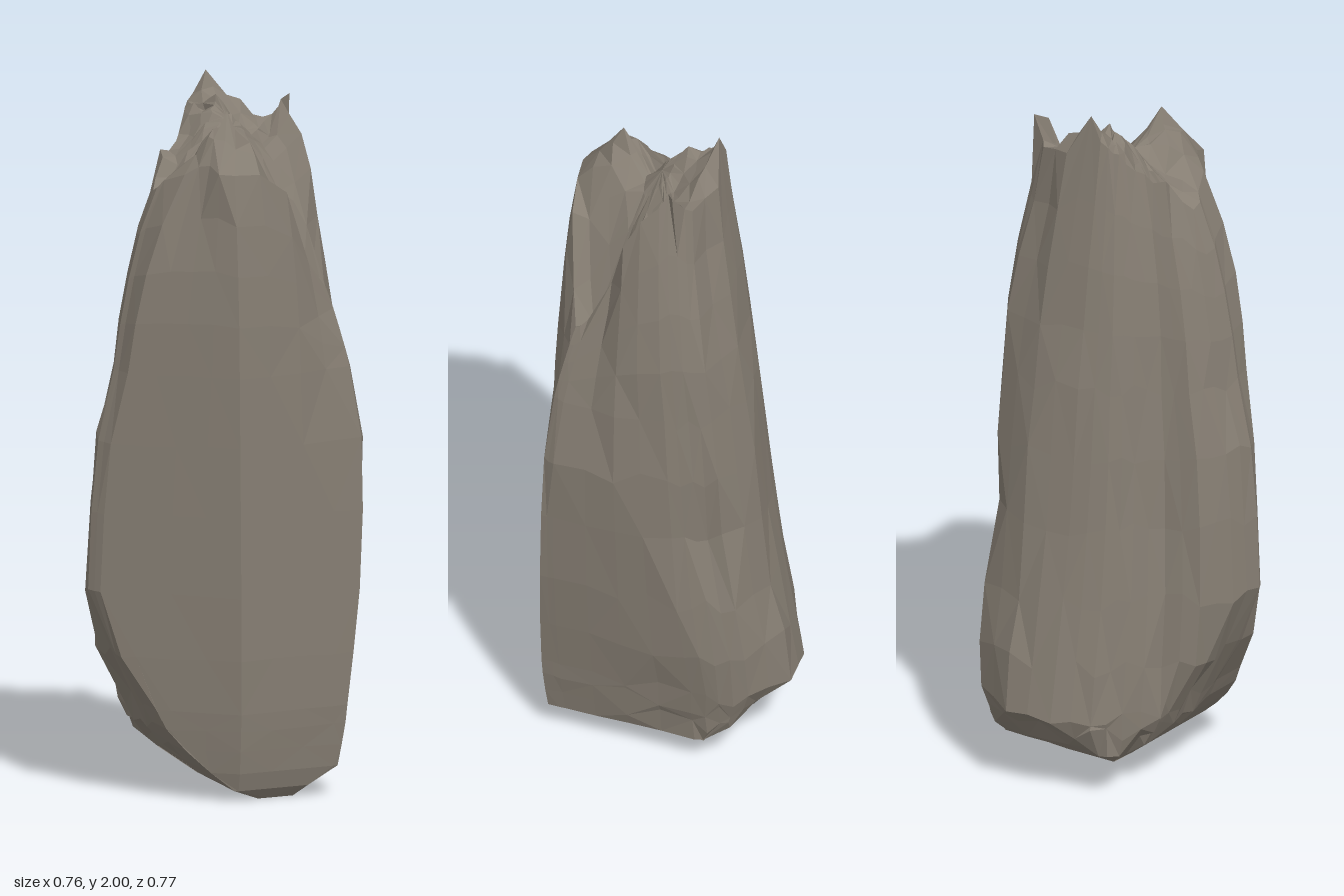
import * as THREE from 'three';

// Plan of the stone: left corner, front ridge, front corner, then round the back
const PLAN = [
  [-0.385, 0.11], [-0.36, 0.15], [-0.19, 0.267], [-0.02, 0.385], [0.18, 0.336], [0.37, 0.29],
  [0.385, 0.25], [0.375, 0.05], [0.345, -0.15], [0.32, -0.24], [0.285, -0.32], [0.14, -0.385],
  [0, -0.36], [-0.1, -0.31], [-0.16, -0.24], [-0.22, -0.14], [-0.31, -0.1], [-0.36, 0],
];
// Extent of the stone at each height: y, min x, max x, min z, max z
const LEVELS = [
  [0, 0.05, 0.16, 0.2, 0.33], [0.03, -0.03, 0.2, 0, 0.355], [0.08, -0.09, 0.29, -0.18, 0.368],
  [0.14, -0.15, 0.3, -0.27, 0.375], [0.2, -0.2, 0.31, -0.32, 0.38], [0.25, -0.225, 0.315, -0.385, 0.383],
  [0.4, -0.31, 0.335, -0.36, 0.385], [0.58, -0.385, 0.355, -0.325, 0.382], [0.8, -0.375, 0.367, -0.295, 0.377],
  [1.0, -0.355, 0.385, -0.27, 0.372], [1.2, -0.31, 0.377, -0.245, 0.367], [1.4, -0.28, 0.375, -0.215, 0.36],
  [1.6, -0.23, 0.345, -0.19, 0.342], [1.8, -0.15, 0.3, -0.155, 0.31], [2.0, -0.03, 0.24, -0.13, 0.26],
];
// Broken summit: the first points are sharp tips, the last ones fill the ridges between
const TIPS = [[0.03, 2.0, -0.12], [0.26, 1.93, -0.07], [0, 1.93, 0.18], [-0.06, 1.77, 0.3], [-0.14, 1.8, 0]];
const PEAKS = [...TIPS, [0.06, 1.78, 0.3], [0.11, 1.95, -0.11], [0.19, 1.91, -0.1], [0.03, 1.95, -0.03]];
// Chips in the sides: x, y, z, radius, height radius, depth
const CHIPS = [
  [0.34, 1.6, 0.21, 0.13, 0.35, 0.4],
  [-0.19, 0.9, -0.12, 0.08, 0.45, 0.06],
  [0.31, 0.85, -0.2, 0.07, 0.13, 0.1],
  [0.21, 1.72, -0.18, 0.07, 0.22, 0.14],
  [0.33, 0.1, -0.36, 0.14, 0.17, 0.13],
  [-0.18, 1.87, 0.27, 0.11, 0.25, 0.2],
];

let seed = 7;
const rand = () => {
  seed = (seed * 16807) % 2147483647;
  return (seed / 2147483647) * 2 - 1;
};

// The two flat front faces, meeting in a ridge at x = -0.02
const frontZ = (x) => 0.385 + (x + 0.02) * (x < -0.02 ? 0.691 : -0.244);

// Point of the side wall for a plan point at height y
function wallPoint([px, pz], y) {
  let k = 0;
  while (k < LEVELS.length - 2 && LEVELS[k + 1][0] < y) k++;
  const a = LEVELS[k], b = LEVELS[k + 1];
  const [, x0, x1, z0, z1] = a.map((v, i) => THREE.MathUtils.lerp(v, b[i], (y - a[0]) / (b[0] - a[0])));
  let x = px, z = pz;
  // The foot is cut off square, the upper part tapers
  if (y > 0.58 && px < -0.02) x = -0.02 + (px + 0.02) * (x0 + 0.02) / -0.365;
  if (y > 1 && px > -0.02) x = -0.02 + (px + 0.02) * (x1 + 0.02) / 0.405;
  x = THREE.MathUtils.clamp(x, x0, x1);
  if (Math.abs(pz - frontZ(px)) < 0.006) z = frontZ(x) + z1 - 0.385;
  else if (pz > 0.1) z += (z1 - 0.385) * (pz - 0.1) / 0.285;
  else if (y > 0.25) z = 0.1 + (pz - 0.1) * (z0 - 0.1) / -0.485;
  z = Math.max(z, z0);

  let pull = 0;
  for (const [cx, cy, cz, r, h, depth] of CHIPS) {
    pull += depth * Math.exp(-((x - cx) ** 2 + (z - cz) ** 2) / r ** 2 - ((y - cy) / h) ** 2);
  }
  return new THREE.Vector3(x + (0.05 - x) * pull, y, z + (0.05 - z) * pull);
}

// Height of the summit: cones around the peaks, with a gully at the front corner
function summit(x, z) {
  let y = 1.55;
  for (const [px, py, pz] of PEAKS) y = Math.max(y, py - 1.15 * Math.hypot(x - px, z - pz));
  return y - 0.27 * Math.exp(-((x - 0.24) ** 2 + (z - 0.19) ** 2) / 0.008);
}

function stoneGeometry() {
  // Each plan edge is halved for more facets
  const plan = PLAN.flatMap((p, i) => {
    const q = PLAN[(i + 1) % PLAN.length];
    return [p, [(p[0] + q[0]) / 2, (p[1] + q[1]) / 2]];
  });
  const n = plan.length;
  const rows = [];

  // Side wall up to the shoulder, rougher at the back and the foot
  for (const [y] of LEVELS.filter((l) => l[0] < 1.3)) {
    rows.push(plan.map((p) => {
      const v = wallPoint(p, y);
      const rough = p[1] < 0.1 ? 1 : 0.15;
      const swell = 1 + 0.016 * rough * (rand() - 0.2);
      v.x = 0.05 + (v.x - 0.05) * swell;
      v.z = 0.05 + (v.z - 0.05) * swell;
      if (y > 0.1) v.y += 0.025 * rough * rand();
      return v;
    }));
  }

  // Upper wall, each column running to its own broken top
  const tops = plan.map((p) => {
    const v = wallPoint(p, 1.72);
    return summit(v.x, v.z) + 0.015 * rand();
  });
  const wallSteps = 4;
  for (let s = 1; s <= wallSteps; s++) {
    rows.push(plan.map((p, i) => wallPoint(p, 1.2 + (tops[i] - 1.2) * s / wallSteps)));
  }

  // Summit, in shrinking rings
  const rim = rows[rows.length - 1];
  const capStart = rows.length - 1;
  const centre = new THREE.Vector3(0.06, 0, 0.04);
  for (const f of [0.8, 0.6, 0.4, 0.2]) {
    rows.push(rim.map((r) => {
      const x = centre.x + (r.x - centre.x) * f + 0.01 * f * rand();
      const z = centre.z + (r.z - centre.z) * f + 0.01 * f * rand();
      return new THREE.Vector3(x, summit(x, z) + 0.02 * f * (rand() - 1), z);
    }));
  }
  centre.y = summit(centre.x, centre.z);

  // Move the nearest summit point onto each tip
  const cap = rows.slice(capStart).flat();
  for (const [x, y, z] of TIPS) {
    const dist = (v) => Math.hypot(v.x - x, v.z - z);
    cap.reduce((a, b) => (dist(b) < dist(a) ? b : a)).set(x, y, z);
  }

  const points = [...rows.flat(), new THREE.Vector3(0.1, 0, 0.28), centre];
  const foot = points.length - 2, top = points.length - 1, last = (rows.length - 1) * n;
  const index = [];
  for (let i = 0; i < n; i++) {
    const j = (i + 1) % n;
    for (let k = 0; k < rows.length - 1; k++) {
      const a = k * n + i, b = k * n + j, c = b + n, d = a + n;
      if ((i + k) % 2) index.push(a, b, c, a, c, d);
      else index.push(a, b, d, b, c, d);
    }
    index.push(foot, j, i, top, last + i, last + j);
  }
  const geometry = new THREE.BufferGeometry().setFromPoints(points);
  geometry.setIndex(index);
  geometry.computeVertexNormals();
  return geometry;
}

export function createModel() {
  const group = new THREE.Group();
  group.name = 'standingRock';
  const material = new THREE.MeshStandardMaterial({ color: 0x857d72, flatShading: true });
  const stone = new THREE.Mesh(stoneGeometry(), material);
  stone.name = 'stone';
  group.add(stone);
  return group;
}
